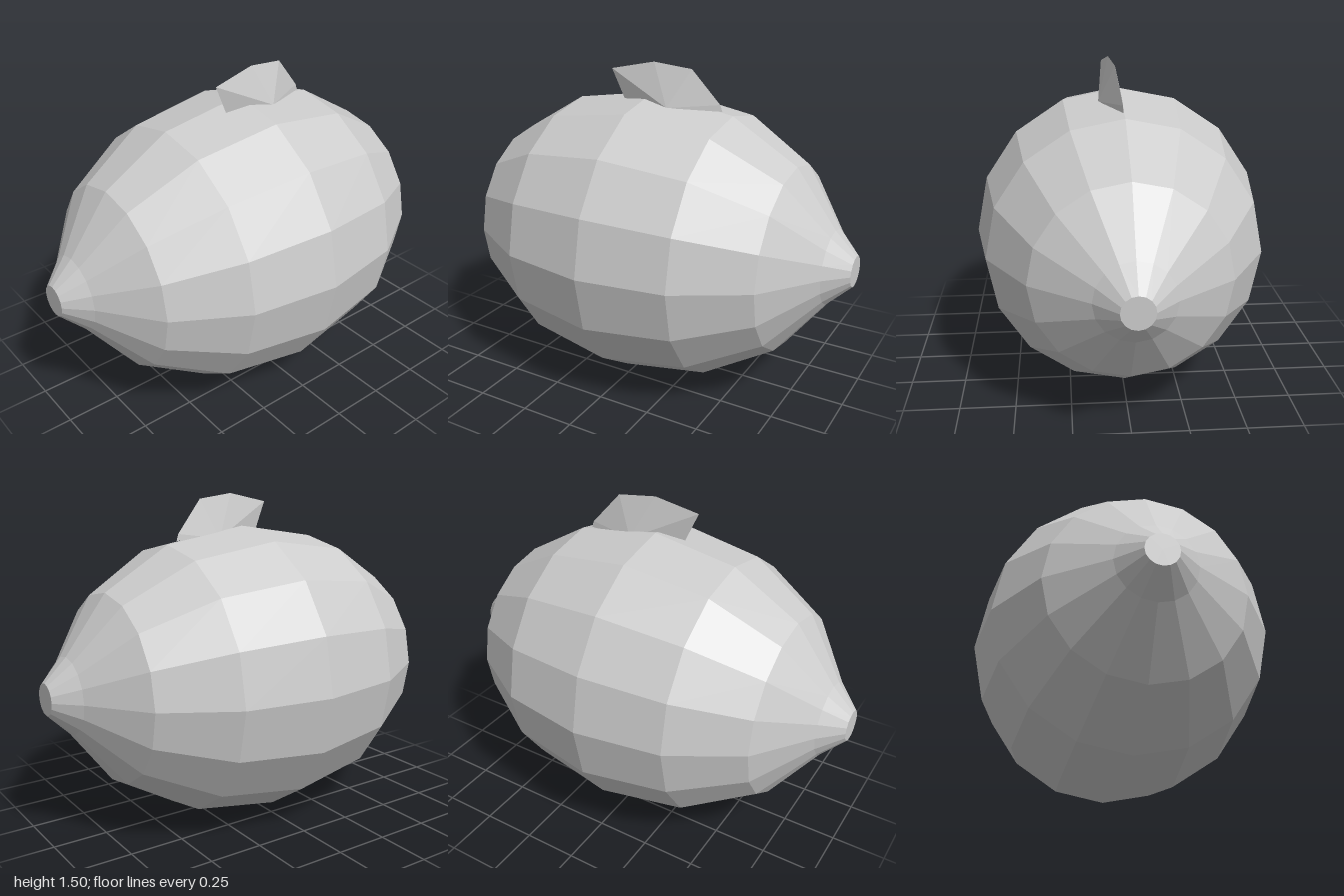
import * as THREE from 'three';

// Split faces apart so every facet is shaded flat
function faceted(geometry) {
  const g = geometry.index ? geometry.toNonIndexed() : geometry;
  g.computeVertexNormals();
  return g;
}

export function createModel() {
  const model = new THREE.Group();
  model.name = 'lemon';
  const grey = new THREE.MeshStandardMaterial({ color: 0xcccccc });
  grey.name = 'light grey';

  // Body: 16-sided lathe lying along x, with flat capped tips
  const half = [[0, 1], [0.07, 1], [0.17, 0.9], [0.425, 0.71], [0.61, 0.4]];
  const profile = [
    ...half.map(([r, x]) => new THREE.Vector2(r, -x)),
    new THREE.Vector2(0.675, 0),
    ...half.map(([r, x]) => new THREE.Vector2(r, x)).reverse(),
  ];
  const bodyGeometry = new THREE.LatheGeometry(profile, 16);
  bodyGeometry.rotateZ(-Math.PI / 2);
  bodyGeometry.translate(0, 0.676, 0);
  const body = new THREE.Mesh(faceted(bodyGeometry), grey);
  body.name = 'body';
  model.add(body);

  // Leaf: a thin wedge, both sides fanning from a base corner to the ridge
  const ridge = [[-0.18, 1.455, 0.07], [0.03, 1.5, 0.05], [0.21, 1.48, 0.03], [0.34, 1.33, 0.006]];
  const baseLeft = [-0.12, 1.32, 0.06];
  const baseRight = [0.35, 1.3, 0.004];
  const baseFront = [0.12, 1.31, 0.1];
  const baseBack = [0.13, 1.3, -0.012];
  const corners = [];
  const rim = [baseRight, ...[...ridge].reverse(), baseLeft];
  for (let i = 0; i < rim.length - 1; i++) {
    corners.push(baseFront, rim[i], rim[i + 1]);
    corners.push(baseBack, rim[i + 1], rim[i]);
  }
  corners.push(baseLeft, baseBack, baseFront, baseFront, baseBack, baseRight);
  const leafGeometry = new THREE.BufferGeometry();
  leafGeometry.setAttribute('position', new THREE.Float32BufferAttribute(corners.flat(), 3));
  const leaf = new THREE.Mesh(faceted(leafGeometry), grey);
  leaf.name = 'leaf';
  model.add(leaf);

  return model;
}
